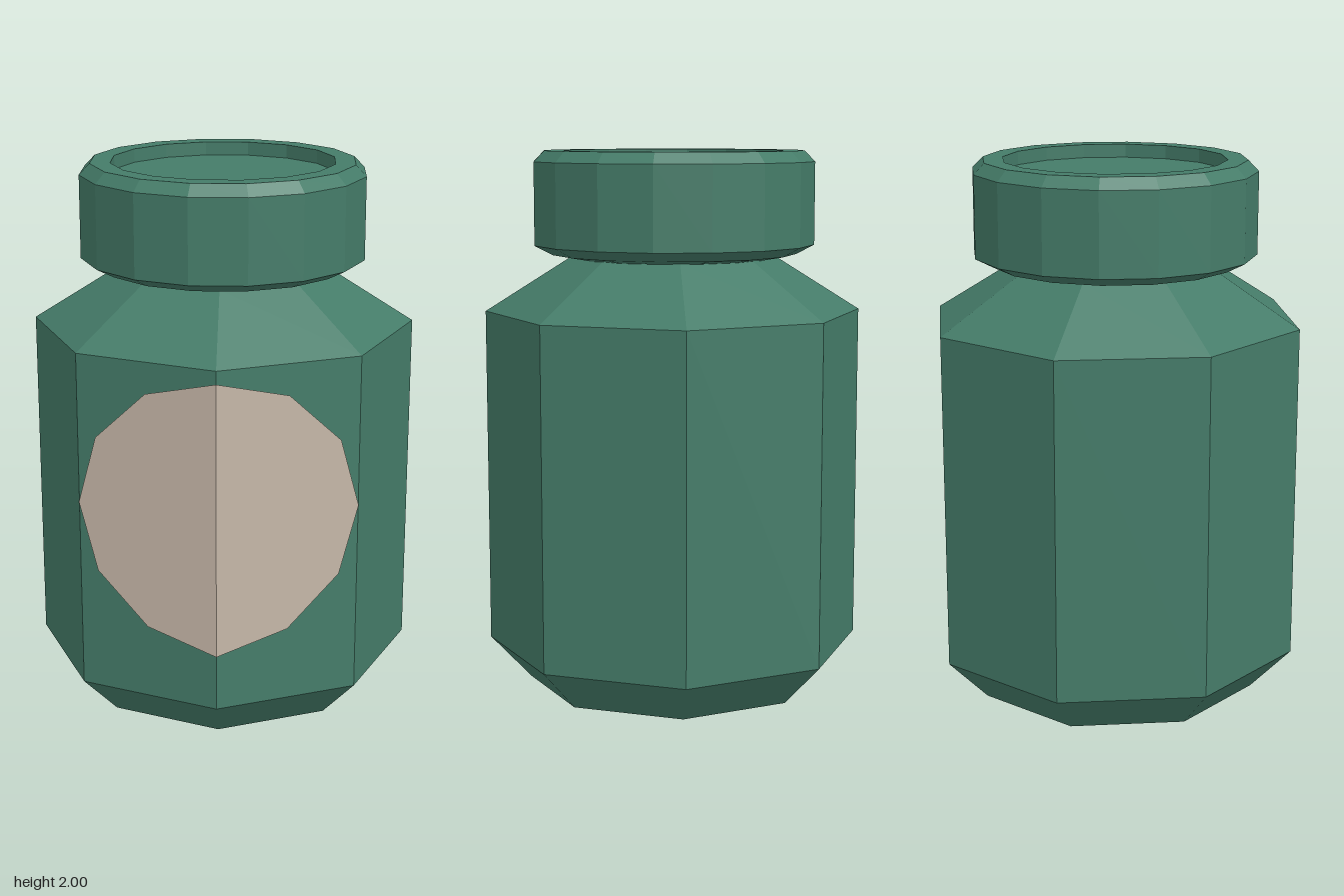
import * as THREE from 'three';

const green = new THREE.MeshStandardMaterial({ color: 0x457c69 });
green.name = 'bottle green';
const beige = new THREE.MeshStandardMaterial({ color: 0xc6b7a8 });
beige.name = 'label beige';

// Faceted solid of revolution from a [radius, height] profile, bottom to top
function faceted(name, profile, sides, turn = 0) {
  const points = profile.map(([r, y]) => new THREE.Vector2(r, y));
  const geometry = new THREE.LatheGeometry(points, sides).toNonIndexed();
  geometry.rotateY(turn);
  geometry.computeVertexNormals();
  const mesh = new THREE.Mesh(geometry, green);
  mesh.name = name;
  return mesh;
}

// Half of a twelve-sided label, folded onto one front face of the body
function labelHalf(side) {
  const shape = new THREE.Shape();
  for (let i = 0; i <= 6; i++) {
    const a = (i * Math.PI) / 6;
    const x = side * 0.495 * Math.sin(a);
    const y = 0.865 + 0.5 * Math.cos(a);
    if (i === 0) shape.moveTo(0, y);
    else shape.lineTo(i === 6 ? 0 : x, y);
  }
  const geometry = new THREE.ShapeGeometry(shape);
  const p = geometry.attributes.position;
  for (let i = 0; i < p.count; i++) {
    p.setZ(i, 0.704 - Math.abs(p.getX(i)) * Math.tan(Math.PI / 8));
  }
  geometry.computeVertexNormals();
  const mesh = new THREE.Mesh(geometry, beige);
  mesh.name = side > 0 ? 'labelLeft' : 'labelRight';
  return mesh;
}

export function createModel() {
  const model = new THREE.Group();
  model.name = 'pillBottle';

  // Octagonal body with chamfered base and sloping shoulder
  model.add(faceted('body', [
    [0, 0], [0.545, 0], [0.698, 0.16], [0.698, 1.41], [0.38, 1.61], [0, 1.61],
  ], 8));

  // Sixteen-sided lid with bevelled edges and a recessed top
  model.add(faceted('lid', [
    [0, 1.605], [0.37, 1.607], [0.455, 1.622], [0.523, 1.657], [0.523, 1.96],
    [0.484, 2], [0.41, 2], [0.41, 1.95], [0, 1.95],
  ], 16, Math.PI / 16));

  // Label wrapped over the front corner
  const label = new THREE.Group();
  label.name = 'label';
  label.add(labelHalf(1), labelHalf(-1));
  model.add(label);

  return model;
}
